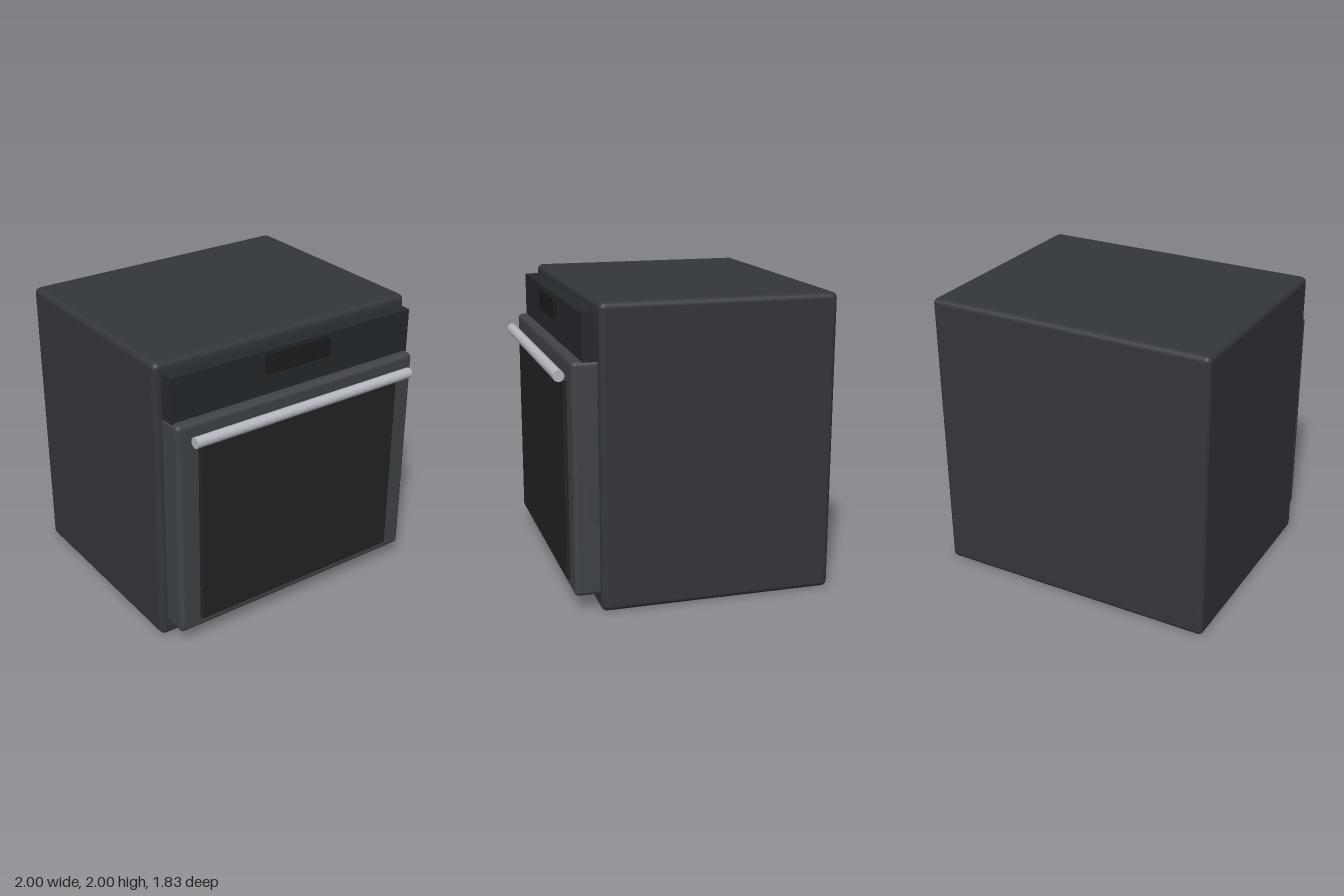
import * as THREE from 'three';
import { RoundedBoxGeometry } from 'three/addons/geometries/RoundedBoxGeometry.js';

const paint = (color) => new THREE.MeshStandardMaterial({ color });

export function createModel() {
  const oven = new THREE.Group();
  oven.name = 'oven';

  // Box spanning the given y and z ranges, centred on x; radius 0 gives sharp edges
  function addBox(name, width, [y0, y1], [z0, z1], radius, material) {
    const size = [width, y1 - y0, z1 - z0];
    const geometry = radius
      ? new RoundedBoxGeometry(...size, 4, radius)
      : new THREE.BoxGeometry(...size);
    const mesh = new THREE.Mesh(geometry, material);
    mesh.name = name;
    mesh.position.set(0, (y0 + y1) / 2, (z0 + z1) / 2);
    oven.add(mesh);
  }

  // Cabinet
  addBox('cabinet', 2, [0, 2], [-0.914, 0.65], 0.04, paint(0x33363b));

  // Control panel and its display
  addBox('controlPanel', 1.9, [1.63, 1.935], [0.6, 0.75], 0, paint(0x26292c));
  addBox('display', 0.5, [1.785, 1.92], [0.74, 0.78], 0, paint(0x1c1c1e));

  // Door with its glass
  addBox('door', 1.9, [0.105, 1.636], [0.6, 0.815], 0.03, paint(0x404347));
  addBox('doorGlass', 1.6, [0.17, 1.505], [0.78, 0.838], 0.015, paint(0x222324));

  // Handle bar
  const handle = new THREE.Mesh(new THREE.CylinderGeometry(0.037, 0.037, 1.73, 24), paint(0xb4b8bc));
  handle.name = 'handle';
  handle.rotation.z = Math.PI / 2;
  handle.position.set(0, 1.537, 0.877);
  oven.add(handle);

  return oven;
}
